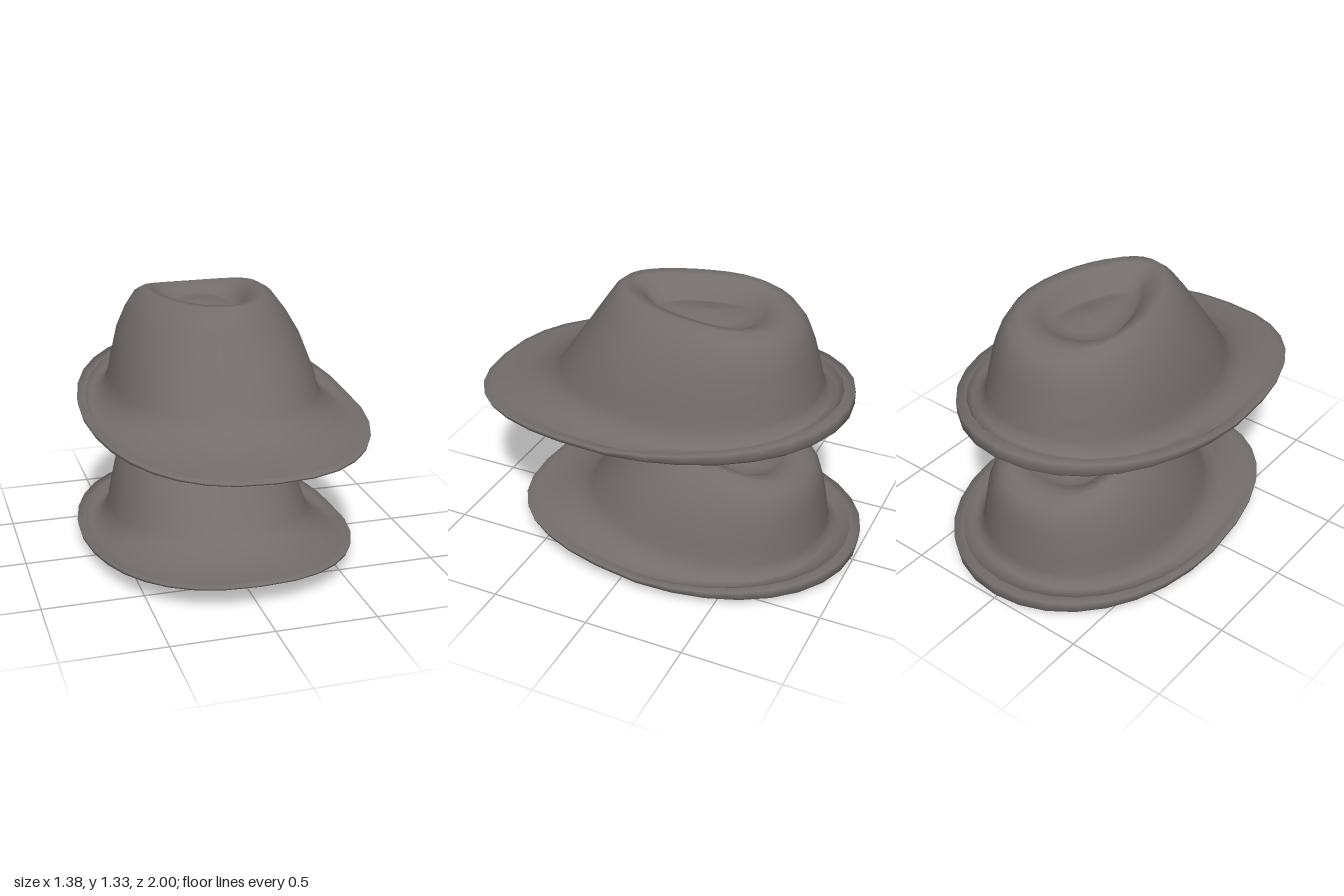
import * as THREE from 'three';

const SEGMENTS = 32;

// One egg-shaped ring: front z, back z, half width, front/side/back heights,
// a taper that narrows the front and widens the back, and the brim flag:
// brim rings are squarer in front and rise sooner behind.
function ringPoint([zf, zb, w, yf, ys, yb, taper = 0, brim = false], angle) {
  const front = Math.cos(angle) > 0;
  const power = brim ? (front ? 0.82 : 0.97) : 0.93;
  const soften = v => Math.sign(v) * Math.pow(Math.abs(v), power);
  const c = soften(Math.cos(angle)), s = soften(Math.sin(angle));
  const blend = Math.pow(Math.abs(c), brim && !front ? 1 : 2);
  const y = ys + ((front ? yf : yb) - ys) * blend;
  return [w * s * (1 - taper * c), y, (zf + zb) / 2 + (zf - zb) / 2 * c];
}

// Skin a row of rings, each with the same number of points
function loft(rings) {
  const positions = [], index = [];
  rings.forEach(ring => {
    for (let j = 0; j < SEGMENTS; j++) positions.push(...ringPoint(ring, j / SEGMENTS * Math.PI * 2));
  });
  for (let i = 0; i < rings.length - 1; i++) {
    for (let j = 0; j < SEGMENTS; j++) {
      const k = (j + 1) % SEGMENTS;
      const a = i * SEGMENTS + j, b = i * SEGMENTS + k;
      index.push(a, b, b + SEGMENTS, a, b + SEGMENTS, a + SEGMENTS);
    }
  }
  const geometry = new THREE.BufferGeometry();
  geometry.setAttribute('position', new THREE.Float32BufferAttribute(positions, 3));
  geometry.setIndex(index);
  geometry.computeVertexNormals();
  return geometry;
}

// Rings for each part of a hat whose brim reaches from z = front to z = back
function hatParts(front, back) {
  const opening = [0.64, -0.77, 0.55, 0.775, 0.785, 0.85];
  const rimBottom = [front - 0.015, back + 0.03, 0.665, 0.732, 0.742, 0.797, 0.02, true];
  const rimInner = [front - 0.03, back + 0.055, 0.65, 0.748, 0.775, 0.885, 0.02, true];
  return {
    crownLining: [
      [-0.20, -0.20, 0, 1.215, 1.215, 1.215],
      [0.08, -0.42, 0.15, 1.20, 1.195, 1.20, 0.38],
      [0.20, -0.52, 0.23, 1.30, 1.285, 1.245, 0.32],
      [0.27, -0.62, 0.32, 1.275, 1.265, 1.205, 0.14],
      [0.33, -0.655, 0.375, 1.21, 1.20, 1.17, 0.07],
      [0.41, -0.69, 0.435, 1.09, 1.09, 1.09, 0.03],
      [0.51, -0.73, 0.48, 0.95, 0.95, 0.97],
      [0.57, -0.75, 0.51, 0.85, 0.85, 0.89],
      opening,
    ],
    brimUnderside: [opening, [0.82, -0.84, 0.61, 0.752, 0.755, 0.82, 0, true], rimBottom],
    brimRim: [
      rimBottom,
      [front, back, 0.685, 0.732, 0.757, 0.825, 0.02, true],
      [front, back, 0.69, 0.739, 0.782, 0.893, 0.02, true],
      rimInner,
    ],
    crownAndBrim: [
      rimInner,
      [0.80, -0.84, 0.62, 0.764, 0.768, 0.84, 0, true],
      [0.69, -0.80, 0.57, 0.805, 0.795, 0.85],
      [0.62, -0.775, 0.535, 0.85, 0.84, 0.885],
      [0.58, -0.765, 0.515, 0.89, 0.88, 0.91],
      [0.53, -0.745, 0.495, 0.97, 0.97, 0.99],
      [0.43, -0.71, 0.453, 1.11, 1.11, 1.11, 0.03],
      [0.35, -0.68, 0.395, 1.23, 1.22, 1.19, 0.07],
      [0.30, -0.64, 0.34, 1.305, 1.295, 1.235, 0.14],
      [0.26, -0.58, 0.285, 1.338, 1.325, 1.268, 0.24],
      [0.21, -0.53, 0.24, 1.335, 1.318, 1.28, 0.32],
      // teardrop dent with a low island in the middle
      [0.14, -0.47, 0.19, 1.28, 1.265, 1.26, 0.38],
      [0.08, -0.42, 0.15, 1.23, 1.22, 1.235, 0.38],
      [0.00, -0.37, 0.10, 1.24, 1.24, 1.24, 0.3],
      [-0.20, -0.20, 0, 1.255, 1.255, 1.255],
    ],
  };
}

export function createModel() {
  const model = new THREE.Group();
  const felt = new THREE.MeshStandardMaterial({ color: 0x736d6b, side: THREE.DoubleSide });
  felt.name = 'grey felt';

  const addHat = (name, parts) => {
    const hat = new THREE.Group();
    hat.name = name;
    for (const [part, rings] of Object.entries(parts)) {
      const mesh = new THREE.Mesh(loft(rings), felt);
      mesh.name = part;
      hat.add(mesh);
    }
    model.add(hat);
    return hat;
  };

  addHat('upperHat', hatParts(0.995, -0.922));

  // The lower hat is a little smaller, leans back and has a shorter front brim
  const lower = addHat('lowerHat', hatParts(0.95, -0.955));
  lower.scale.set(1, 0.94, 0.93);
  lower.rotation.x = -0.1;
  lower.position.set(0, -0.655, -0.037);

  return model;
}
